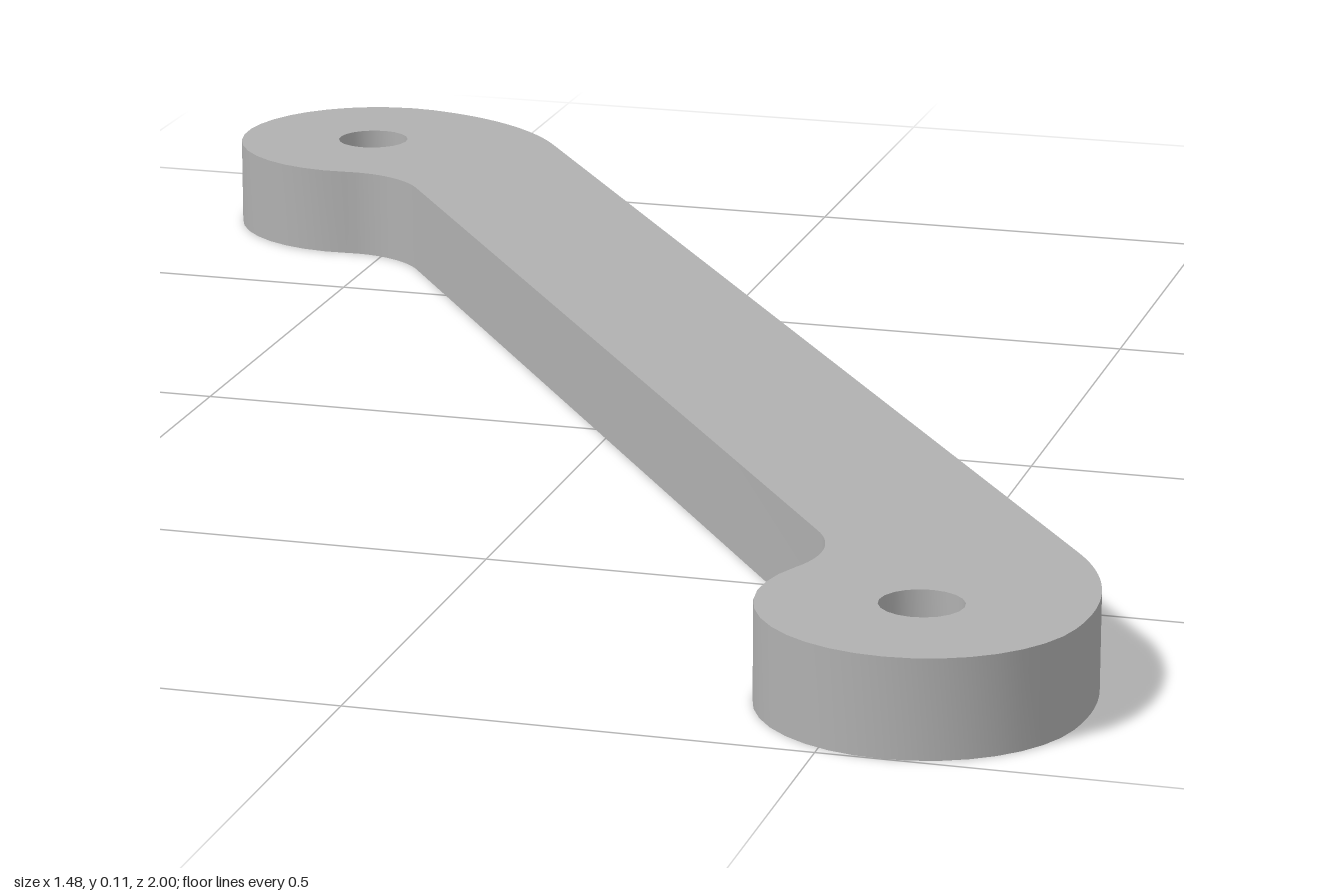
import * as THREE from 'three';
import { toCreasedNormals } from 'three/addons/utils/BufferGeometryUtils.js';

const HEIGHT = 0.108;
const SLOT_DEPTH = 0.085;
const BOSS = { x: 1.003, r: 0.172, hole: 0.045 };
const EDGE = { outer: 0.215, inner: -0.018 };
const SHOULDER = { x: 0.9, r: 0.316 };  // large convex arc blending boss into outer edge
const FILLET = { x: 0.745, r: 0.121 };  // concave arc blending boss into inner edge
const SLOT = { x: 0.753, y: 0.0985, r: 0.057 };

// Handle outline, symmetric about its middle, with the bosses set to one side
function outline() {
  const sy = EDGE.outer - SHOULDER.r, fy = EDGE.inner - FILLET.r;
  const a = Math.atan2(-sy, BOSS.x - SHOULDER.x);
  const b = Math.atan2(-fy, BOSS.x - FILLET.x);
  const P = Math.PI;
  const s = new THREE.Shape();
  s.moveTo(SHOULDER.x, EDGE.outer);
  s.absarc(-SHOULDER.x, sy, SHOULDER.r, P / 2, P - a, false);
  s.absarc(-BOSS.x, 0, BOSS.r, P - a, 2 * P - b, false);
  s.absarc(-FILLET.x, fy, FILLET.r, P - b, P / 2, true);
  s.absarc(FILLET.x, fy, FILLET.r, P / 2, b, true);
  s.absarc(BOSS.x, 0, BOSS.r, P + b, 2 * P + a, false);
  s.absarc(SHOULDER.x, sy, SHOULDER.r, a, P / 2, false);
  return s;
}

// Round-ended slot
function stadium() {
  const s = new THREE.Shape();
  s.absarc(SLOT.x, SLOT.y, SLOT.r, -Math.PI / 2, Math.PI / 2, false);
  s.absarc(-SLOT.x, SLOT.y, SLOT.r, Math.PI / 2, Math.PI * 1.5, false);
  s.closePath();
  return s;
}

// Extrude a flat shape upward with smooth curved walls and sharp rims
function slab(shape, depth, y) {
  const g = new THREE.ExtrudeGeometry(shape, { depth, bevelEnabled: false, curveSegments: 10 });
  g.rotateX(-Math.PI / 2);
  g.translate(0, y, 0);
  return toCreasedNormals(g, 0.6);
}

export function createModel() {
  const grey = new THREE.MeshStandardMaterial({ color: 0xb0b0b0 });
  grey.name = 'grey';
  const model = new THREE.Group();
  model.name = 'handle';

  // Body with screw holes and the slot
  const shape = outline();
  for (const side of [-1, 1]) {
    shape.holes.push(new THREE.Path().absarc(side * BOSS.x, 0, BOSS.hole, 0, Math.PI * 2, true));
  }
  shape.holes.push(stadium());
  const body = new THREE.Mesh(slab(shape, HEIGHT, 0), grey);
  body.name = 'handleBody';

  // Web closing the top of the slot, leaving it open underneath
  const web = new THREE.Mesh(slab(stadium(), HEIGHT - SLOT_DEPTH, SLOT_DEPTH), grey);
  web.name = 'slotWeb';

  model.add(body, web);
  model.rotation.y = -Math.atan2(0.8247, 0.5656); // lies diagonally on the ground
  return model;
}
